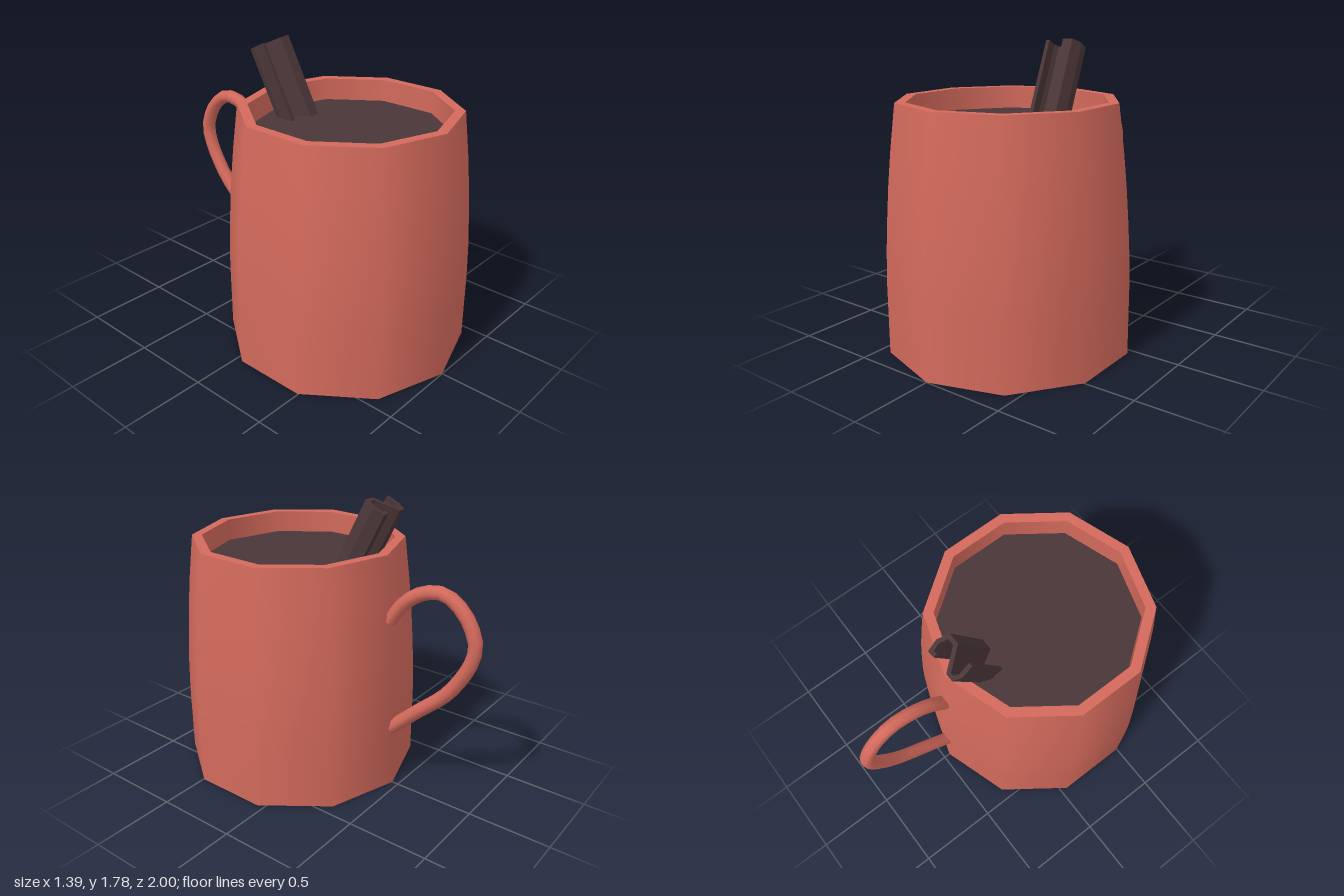
import * as THREE from 'three';

const SIDES = 10;
const clay = new THREE.MeshStandardMaterial({ color: 0xd46a5c });
const dark = new THREE.MeshStandardMaterial({ color: 0x4a3638 });

function mesh(name, geometry, material) {
  const m = new THREE.Mesh(geometry, material);
  m.name = name;
  return m;
}

// Ten-sided surface of revolution; separate calls keep the edges between them sharp
function turned(name, profile, material) {
  const points = profile.map(([r, y]) => new THREE.Vector2(r, y));
  return mesh(name, new THREE.LatheGeometry(points, SIDES), material);
}

// Closed outline of a strip of even thickness along an open centre line
function stripShape(line, thickness) {
  const p = line.map(([x, y]) => new THREE.Vector2(x, y));
  const left = [], right = [];
  p.forEach((point, i) => {
    const before = point.clone().sub(p[Math.max(i - 1, 0)]).normalize();
    const after = p[Math.min(i + 1, p.length - 1)].clone().sub(point).normalize();
    const tangent = before.clone().add(after).normalize();
    const ref = i === 0 ? after : before;
    const half = thickness / 2 / Math.max(tangent.dot(ref), 0.5);
    const offset = new THREE.Vector2(-tangent.y, tangent.x).multiplyScalar(half);
    left.push(point.clone().add(offset));
    right.unshift(point.clone().sub(offset));
  });
  return new THREE.Shape([...left, ...right]);
}

export function createModel() {
  const model = new THREE.Group();
  model.name = 'mugOfCocoa';

  // Cup: bulging outer wall, flat rim, inner wall and base
  const cup = new THREE.Group();
  cup.name = 'cup';
  cup.position.z = 0.27;
  cup.add(
    turned('outerWall', [[0.73, 0], [0.73, 0.42], [0.724, 0.62], [0.713, 0.8],
      [0.698, 1.0], [0.678, 1.2], [0.645, 1.465]], clay),
    turned('rim', [[0.645, 1.465], [0.585, 1.465]], clay),
    turned('innerWall', [[0.585, 1.465], [0.585, 1.3]], clay),
    turned('base', [[0, 0], [0.73, 0]], clay),
    turned('drink', [[0.585, 1.33], [0, 1.33]], dark),
  );
  model.add(cup);

  // Handle: round bar looping out at the back
  const path = [[1.08, -0.405], [1.12, -0.43], [1.22, -0.51], [1.29, -0.61], [1.315, -0.69],
    [1.315, -0.76], [1.26, -0.85], [1.18, -0.915], [1.065, -0.957], [0.95, -0.935],
    [0.825, -0.87], [0.71, -0.785], [0.55, -0.61], [0.405, -0.455], [0.385, -0.432]];
  const curve = new THREE.CatmullRomCurve3(path.map(([y, z]) => new THREE.Vector3(0, y, z)));
  const bar = clay.clone();
  bar.side = THREE.DoubleSide;
  model.add(mesh('handle', new THREE.TubeGeometry(curve, 24, 0.042, 8), bar));

  // Stick: S-shaped curl of bark leaning on the back of the rim
  const curl = [[-0.1, -0.055], [-0.108, 0.02], [-0.09, 0.062], [-0.055, 0.062], [0.03, -0.062],
    [0.085, -0.062], [0.107, 0], [0.095, 0.06], [0.06, 0.058]];
  const length = 0.95;
  const bark = new THREE.ExtrudeGeometry(stripShape(curl, 0.024), { depth: length, bevelEnabled: false });
  bark.rotateX(-Math.PI / 2);
  bark.translate(0, -length, 0);
  const stick = mesh('stick', bark, dark);
  stick.position.set(-0.022, 1.743, -0.335);
  stick.rotation.set(-0.45, 0, 0.05);
  model.add(stick);

  return model;
}
